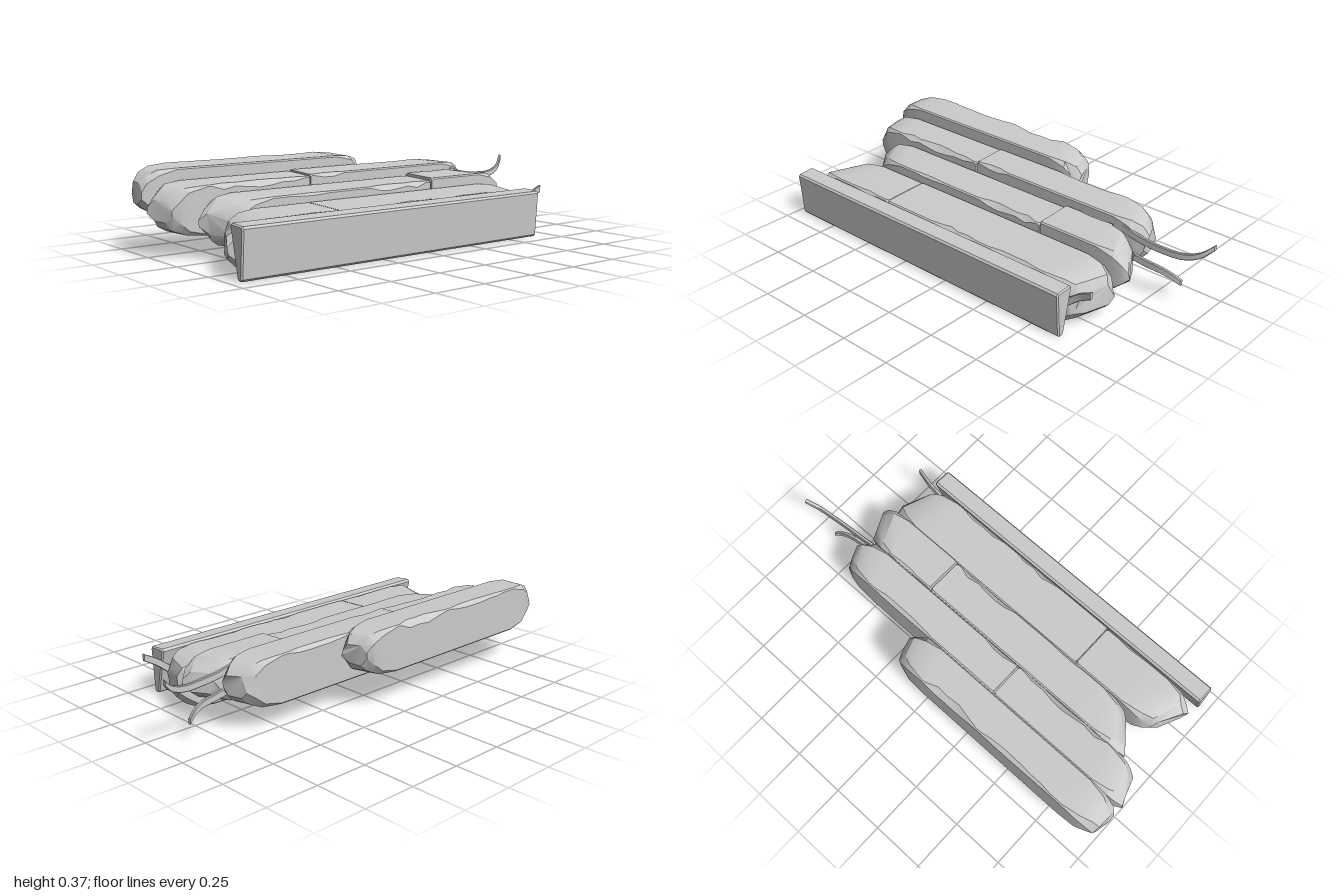
import * as THREE from 'three';
import { toCreasedNormals } from 'three/addons/utils/BufferGeometryUtils.js';

const material = new THREE.MeshStandardMaterial({ color: 0xcccccc });

// Small repeatable noise in -1..1
let seed = 11;
const noise = () => {
  seed = (seed * 16807) % 2147483647;
  return (seed / 2147483647) * 2 - 1;
};

// Chamfered box outline in the yz plane; xb / xf are the x of its back and front edges.
// c = chamfer, rough = jitter, cb / cf = extra chip on the back / front top edge
function ring({ xb, xf = xb, y0, y1, zb, zf, c = 0.006, rough = 0, cb = 0, cf = 0, tilt = 0 }) {
  const B = c + cb, F = c + cf;
  return [
    [y1, zb + B], [y1, zf - F], [y1 - F, zf], [y0 + c, zf],
    [y0, zf - c], [y0, zb + c], [y0 + c, zb], [y1 - B, zb],
  ].map(([y, z]) => {
    const t = (z - zb) / (zf - zb);
    return [
      xb + (xf - xb) * t + noise() * rough,
      y + tilt * (0.5 - t) + noise() * rough * 0.4,
      z + noise() * rough * 0.3,
    ];
  });
}

// Solid skinned over rings that run from -x to +x
function loft(name, sections, crease = 0.45) {
  const rings = sections.map(ring), n = 8, pos = [];
  const tri = (...p) => p.forEach((v) => pos.push(...v));
  for (let i = 0; i < rings.length - 1; i++) {
    for (let j = 0; j < n; j++) {
      const k = (j + 1) % n, p = rings[i], q = rings[i + 1];
      tri(p[j], p[k], q[k]);
      tri(p[j], q[k], q[j]);
    }
  }
  const first = rings[0], last = rings[rings.length - 1];
  for (let j = 1; j < n - 1; j++) {
    tri(first[0], first[j + 1], first[j]);
    tri(last[0], last[j], last[j + 1]);
  }
  const g = new THREE.BufferGeometry();
  g.setAttribute('position', new THREE.Float32BufferAttribute(pos, 3));
  const mesh = new THREE.Mesh(toCreasedNormals(g, crease), material);
  mesh.name = name;
  return mesh;
}

// Rings of one end, listed from the tip inwards. dir = -1 for left, +1 for right
function endRings(body, end, dir) {
  const [back, front] = end.x;
  if (!end.broken) {
    return [
      { ...body, xb: back, xf: front, c: 0.012 },
      { ...body, xb: back - dir * 0.008, xf: front - dir * 0.008 },
    ];
  }
  const h = body.y1 - body.y0, w = body.zf - body.zb;
  // [inset from tip, top drop, bottom lift, side inset, chamfer, roughness]
  return [
    [0, 0.3, 0.28, 0.14, 0.03, 0.01],
    [0.03, 0.13, 0.14, 0.06, 0.032, 0.009],
    [0.075, 0.03, 0.03, 0.01, 0.02, 0.004],
    [0.16, 0, 0, 0, 0.006, 0],
  ].map(([d, top, bottom, side, c, rough]) => ({
    ...body, c, rough,
    xb: back - dir * d, xf: front - dir * d,
    y0: body.y0 + h * bottom, y1: body.y1 - h * top,
    zb: body.zb + w * side, zf: body.zf - w * side,
  }));
}

// Stone block with sawn or broken ends and optional chips on a top edge
function stone({ name, y, z, left, right, chips = [], tilt = 0.008 }) {
  const body = { y0: y[0], y1: y[1], zb: z[0], zf: z[1], tilt };
  const sections = endRings(body, left, -1);
  for (const [from, to, edge, depth] of chips) {
    const count = Math.max(3, Math.round((to - from) / 0.06));
    for (let i = 0; i <= count; i++) {
      const inner = i > 0 && i < count;
      const size = inner ? depth * (0.6 + 0.4 * noise()) : 0;
      sections.push({ ...body, xb: from + ((to - from) * i) / count, [edge]: size });
    }
  }
  sections.push(...endRings(body, right, 1).reverse());
  return loft(name, sections);
}

// Flat bent strip along [x, y, z] points
function strap(name, points, height, thick) {
  const curve = new THREE.CatmullRomCurve3(points.map((p) => new THREE.Vector3(...p)));
  const sections = curve.getPoints(14).map((p, i) => {
    const h = height * (1 - 0.25 * (i / 14)) / 2;
    return { xb: p.x, y0: p.y - h, y1: p.y + h, zb: p.z - thick / 2, zf: p.z + thick / 2, c: thick / 5 };
  });
  return loft(name, sections, 0.6);
}

export function createModel() {
  seed = 11;
  const group = new THREE.Group();
  group.name = 'brokenStoneSteps';

  // Front board, tapering towards its lower edge
  const section = new THREE.Shape();
  [[-0.44, 0.207], [-0.433, 0.217], [-0.358, 0.222], [-0.348, 0.212], [-0.394, 0.012],
    [-0.403, 0.003], [-0.418, 0.003], [-0.426, 0.012]]
    .forEach(([a, b], i) => (i ? section.lineTo(a, b) : section.moveTo(a, b)));
  const boardGeo = new THREE.ExtrudeGeometry(section, {
    depth: 1.603, bevelEnabled: true, bevelSize: 0.006, bevelOffset: -0.006, bevelThickness: 0.006, bevelSegments: 1,
  });
  boardGeo.rotateY(Math.PI / 2);
  boardGeo.translate(-0.954, 0, 0);
  const board = new THREE.Mesh(toCreasedNormals(boardGeo, 0.4), material);
  board.name = 'frontBoard';
  group.add(board);

  // Stepped rows of stones, front to back; end x is given as [back, front]
  const stones = [
    { name: 'firstRowLeftStone', y: [0.004, 0.222], z: [0.115, 0.342],
      left: { x: [-0.86, -0.95], broken: true }, right: { x: [-0.434, -0.434] },
      chips: [[-0.68, -0.5, 'cf', 0.012]] },
    { name: 'firstRowRightStone', y: [0.004, 0.222], z: [0.112, 0.346],
      left: { x: [-0.43, -0.43] }, right: { x: [0.72, 0.66], broken: true },
      chips: [[-0.15, 0.12, 'cf', 0.02], [0.2, 0.46, 'cf', 0.012]] },
    { name: 'secondRowLeftStone', y: [0.046, 0.266], z: [-0.078, 0.106],
      left: { x: [-0.86, -0.76], broken: true }, right: { x: [0.278, 0.278] },
      chips: [[-0.5, -0.3, 'cf', 0.012], [-0.08, 0.25, 'cf', 0.025]] },
    { name: 'secondRowRightStone', y: [0.08, 0.278], z: [-0.08, 0.108],
      left: { x: [0.285, 0.285] }, right: { x: [0.67, 0.75], broken: true },
      chips: [[0.36, 0.54, 'cb', 0.015]] },
    { name: 'thirdRowLeftStone', y: [0.098, 0.312], z: [-0.262, -0.086],
      left: { x: [-1.0, -0.96], broken: true }, right: { x: [-0.275, -0.275] },
      chips: [[-0.78, -0.3, 'cf', 0.022]] },
    { name: 'thirdRowRightStone', y: [0.098, 0.318], z: [-0.26, -0.09],
      left: { x: [-0.268, -0.268] }, right: { x: [0.65, 0.69], broken: true },
      chips: [[-0.25, -0.08, 'cf', 0.02], [0.1, 0.45, 'cb', 0.012]] },
    { name: 'backRowStone', y: [0.161, 0.371], z: [-0.44, -0.27],
      left: { x: [-0.975, -1.0], broken: true }, right: { x: [0.15, 0.18], broken: true },
      chips: [[-0.75, -0.36, 'cb', 0.013], [-0.33, -0.03, 'cb', 0.03]] },
  ];
  stones.forEach((s) => group.add(stone(s)));

  // Bent metal strips sticking out on one side
  group.add(
    strap('upperStrip', [[0.58, 0.27, -0.095], [0.68, 0.245, -0.098], [0.78, 0.235, -0.102],
      [0.88, 0.237, -0.112], [0.95, 0.262, -0.128], [1.0, 0.306, -0.155]], 0.036, 0.016),
    strap('lowerStrip', [[0.58, 0.17, -0.088], [0.7, 0.148, -0.092], [0.78, 0.138, -0.1],
      [0.83, 0.122, -0.112], [0.87, 0.097, -0.128]], 0.036, 0.016),
    strap('frontStrip', [[0.56, 0.09, 0.352], [0.63, 0.13, 0.346], [0.69, 0.175, 0.342],
      [0.755, 0.212, 0.35]], 0.045, 0.014),
  );
  return group;
}
